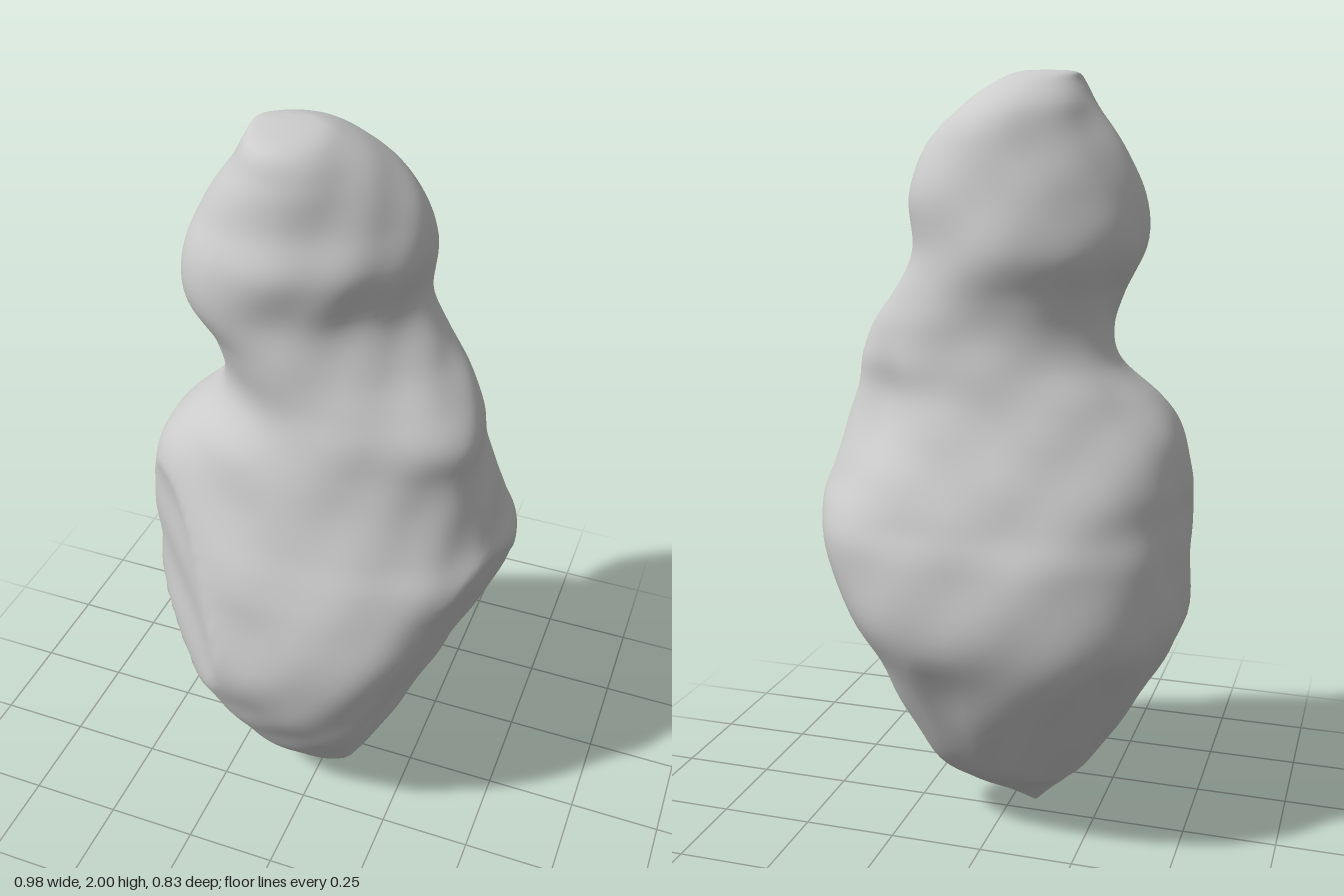
import * as THREE from 'three';

// Cross-sections from base to tip: y, left x, right x, back z, front z
const sections = [
  [0.0, -0.07, -0.06, 0.06, 0.07],
  [0.04, -0.11, 0.03, 0.02, 0.12],
  [0.1, -0.17, 0.15, -0.06, 0.175],
  [0.2, -0.26, 0.22, -0.19, 0.26],
  [0.4, -0.38, 0.31, -0.31, 0.36],
  [0.6, -0.48, 0.39, -0.4, 0.41],
  [0.8, -0.49, 0.47, -0.4, 0.385],
  [0.91, -0.485, 0.49, -0.37, 0.36],
  [1.0, -0.485, 0.455, -0.34, 0.33],
  [1.1, -0.46, 0.43, -0.3, 0.3],
  [1.2, -0.39, 0.4, -0.27, 0.28],
  [1.29, -0.3, 0.39, -0.26, 0.26],
  [1.37, -0.28, 0.35, -0.25, 0.24],
  [1.46, -0.3, 0.28, -0.25, 0.23],
  [1.57, -0.35, 0.22, -0.26, 0.23],
  [1.7, -0.34, 0.23, -0.24, 0.24],
  [1.8, -0.3, 0.2, -0.21, 0.2],
  [1.9, -0.23, 0.12, -0.17, 0.18],
  [1.97, -0.19, 0.03, -0.09, 0.15],
  [1.995, -0.17, -0.03, -0.03, 0.05],
  [2.0, -0.1, -0.1, 0.0, 0.0],
];

// Broad flat facets worn into the lower body: normal and distance
const facets = [
  [new THREE.Vector3(1, -0.41, 0.3), 0.108],
  [new THREE.Vector3(0.2, -0.52, -1), 0.1],
  [new THREE.Vector3(-0.7, -0.7, -0.7), 0.05],
  [new THREE.Vector3(-0.7, 0, 0.7), 0.41],
];

// Local lumps and hollows: position, radius, height
const lumps = [
  [0.33, 1.27, 0.1, 0.08, 0.03],
  [0.3, 1.23, -0.2, 0.1, -0.03],
  [0.33, 1.1, -0.22, 0.1, -0.015],
  [0.35, 0.72, -0.27, 0.14, 0.025],
  [0.2, 0.7, 0.37, 0.12, 0.012],
  [0.2, 0.62, -0.38, 0.12, 0.018],
  [-0.28, 1.62, 0.12, 0.1, 0.01],
  [-0.1, 1.88, 0.16, 0.08, 0.01],
  [-0.16, 1.93, -0.08, 0.07, 0.02],
  [-0.4, 1.1, 0.15, 0.1, 0.015],
  [0.2, 1.45, 0.2, 0.1, -0.01],
];

function ripple(p) {
  return 0.004 * Math.sin(9 * p.x + 11 * p.y + 2) * Math.sin(12 * p.z - 7 * p.y)
    + 0.004 * Math.sin(23 * p.x - 17 * p.z + 1) * Math.sin(21 * p.y + 13 * p.z);
}

function buildStone() {
  const xCurve = new THREE.CatmullRomCurve3(
    sections.map(([y, l, r]) => new THREE.Vector3(l, y, r)), false, 'catmullrom', 0.5);
  const zCurve = new THREE.CatmullRomCurve3(
    sections.map(([y, , , b, f]) => new THREE.Vector3(b, y, f)), false, 'catmullrom', 0.5);
  const rows = 120, cols = 96, positions = [], index = [];
  const p = new THREE.Vector3(), c = new THREE.Vector3(), out = new THREE.Vector3();

  for (let i = 0; i <= rows; i++) {
    const xs = xCurve.getPoint(i / rows), zs = zCurve.getPoint(i / rows);
    const y = xs.y;
    c.set((xs.x + xs.z) / 2, y, (zs.x + zs.z) / 2);
    const rx = Math.abs(xs.z - xs.x) / 2, rz = Math.abs(zs.z - zs.x) / 2;
    // Squarish body blends into a rounder, slightly turned head
    const power = 2 / (2.35 - 0.42 * THREE.MathUtils.smoothstep(y, 0.9, 1.5));
    const skew = 0.18 * THREE.MathUtils.smoothstep(y, 1.3, 1.6);
    for (let j = 0; j < cols; j++) {
      const a = (j / cols) * Math.PI * 2, ca = Math.cos(a), sa = Math.sin(a);
      out.set(Math.sign(ca) * Math.abs(ca) ** power * rx, 0,
        Math.sign(sa) * Math.abs(sa) ** power * rz);
      out.z -= skew * out.x;
      // Pull back to each facet
      for (const [n, d] of facets) {
        const reach = n.dot(out), room = d - n.dot(c);
        if (reach > room) out.multiplyScalar(Math.max(room / reach, 0.5));
      }
      p.copy(c).add(out);
      // Surface relief fades out at both ends
      let push = ripple(p);
      for (const [lx, ly, lz, r, h] of lumps) {
        const d2 = (p.x - lx) ** 2 + (p.y - ly) ** 2 + (p.z - lz) ** 2;
        push += h * Math.exp(-d2 / (r * r));
      }
      push *= Math.min(1, out.length() / 0.15);
      p.addScaledVector(out.normalize(), push);
      positions.push(p.x, THREE.MathUtils.clamp(p.y, 0, 2), p.z);
    }
  }
  for (let i = 0; i < rows; i++) {
    for (let j = 0; j < cols; j++) {
      const a = i * cols + j, b = i * cols + (j + 1) % cols;
      index.push(a, a + cols, b, b, a + cols, b + cols);
    }
  }
  const geometry = new THREE.BufferGeometry();
  geometry.setAttribute('position', new THREE.Float32BufferAttribute(positions, 3));
  geometry.setIndex(index);
  geometry.computeVertexNormals();
  return geometry;
}

export function createModel() {
  const group = new THREE.Group();
  group.name = 'stoneFigure';
  const stone = new THREE.Mesh(buildStone(), new THREE.MeshStandardMaterial({ color: 0xcccccc }));
  stone.name = 'stoneBody';
  group.add(stone);
  return group;
}
